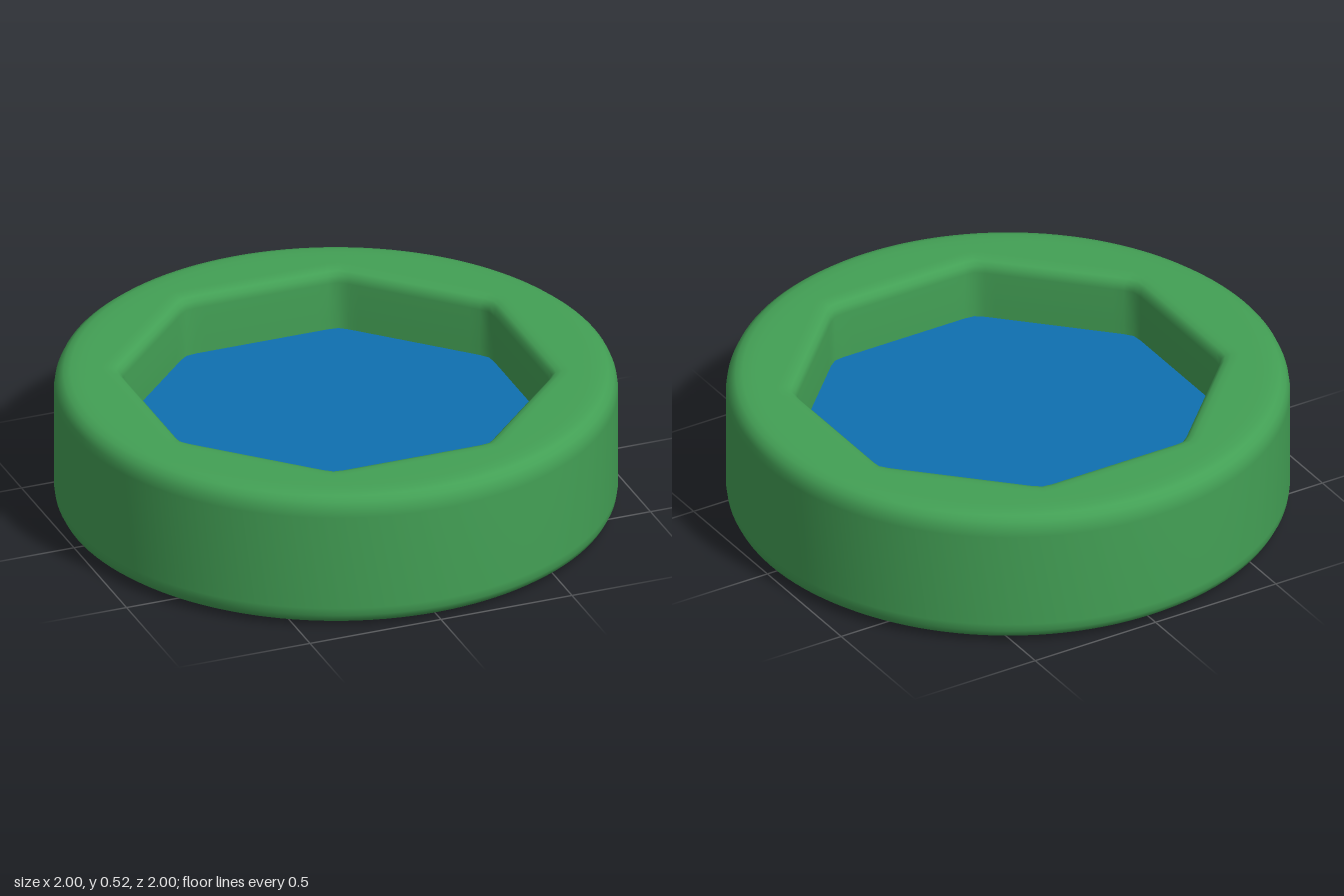
import * as THREE from 'three';
import { mergeVertices } from 'three/addons/utils/BufferGeometryUtils.js';

const green = new THREE.MeshStandardMaterial({ color: 0x43a055 });
green.name = 'green';
const blue = new THREE.MeshStandardMaterial({ color: 0x0f70b0 });
blue.name = 'blue';

const SEGMENTS = 128;
const FLOOR_Y = 0.295;
const RECESS = 0.705; // distance from the centre to each flat side of the recess

// Radius of an octagon at an angle, flats facing the axes, corners slightly eased
function octagonRadius(apothem, angle) {
  const step = Math.PI / 4;
  const off = angle - Math.round(angle / step) * step;
  return Math.min(apothem / Math.cos(off), apothem * 1.075);
}

// Revolved body whose inner rings are reshaped from circles into octagons
function bodyGeometry() {
  const outer = [
    [0, 0], [0.9, 0.005], [0.94, 0.007], [0.965, 0.013], [0.985, 0.028], [0.996, 0.05], [1, 0.08],
    [1, 0.44], [0.996, 0.47], [0.985, 0.495], [0.965, 0.511], [0.94, 0.518], [0.9, 0.52],
  ];
  const inner = [
    [0.77, 0.52], [0.745, 0.519], [0.725, 0.513], [0.711, 0.5], [RECESS, 0.475],
    [RECESS, 0.33], [RECESS, FLOOR_Y - 0.01],
  ];
  const profile = [...outer, ...inner].map(([r, y]) => new THREE.Vector2(r, y));
  const geometry = new THREE.LatheGeometry(profile, SEGMENTS);
  const pos = geometry.attributes.position;
  for (let i = 0; i < pos.count; i++) {
    const ring = i % profile.length;
    if (ring < outer.length) continue;
    const angle = (Math.floor(i / profile.length) / SEGMENTS) * Math.PI * 2;
    const r = octagonRadius(profile[ring].x, angle);
    pos.setX(i, r * Math.sin(angle));
    pos.setZ(i, r * Math.cos(angle));
  }
  // Weld the seam so shading is continuous
  geometry.deleteAttribute('uv');
  geometry.deleteAttribute('normal');
  const welded = mergeVertices(geometry, 1e-5);
  welded.computeVertexNormals();
  return welded;
}

// Flat octagonal floor of the recess
function floorGeometry() {
  const points = [];
  for (let i = 0; i < SEGMENTS; i++) {
    const a = (i / SEGMENTS) * Math.PI * 2;
    const r = octagonRadius(RECESS, a);
    points.push(new THREE.Vector2(r * Math.cos(a), r * Math.sin(a)));
  }
  return new THREE.ShapeGeometry(new THREE.Shape(points)).rotateX(-Math.PI / 2);
}

export function createModel() {
  const group = new THREE.Group();
  group.name = 'recessedDisc';

  const body = new THREE.Mesh(bodyGeometry(), green);
  body.name = 'roundBody';

  const floor = new THREE.Mesh(floorGeometry(), blue);
  floor.name = 'recessFloor';
  floor.position.y = FLOOR_Y;

  group.add(body, floor);
  return group;
}
